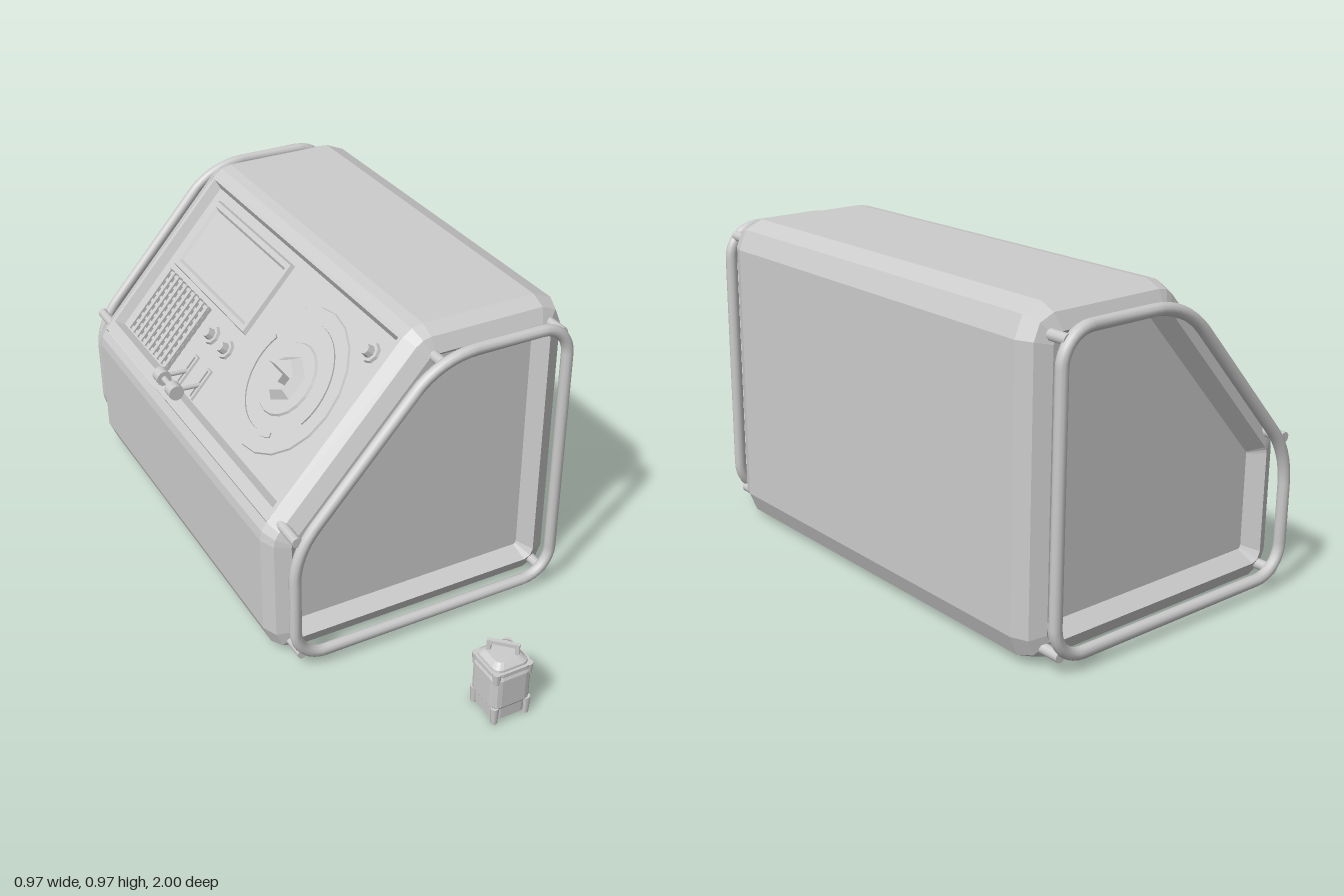
import * as THREE from 'three';

const smooth = new THREE.MeshStandardMaterial({ color: 0xcccccc });
const flat = new THREE.MeshStandardMaterial({ color: 0xcccccc, flatShading: true });

function add(parent, name, geometry, material = flat, x = 0, y = 0, z = 0) {
  const mesh = new THREE.Mesh(geometry, material);
  mesh.name = name;
  mesh.position.set(x, y, z);
  parent.add(mesh);
  return mesh;
}

// Ring of points: convex polygon, inset by d, corners rounded by r (number or one per corner)
function rounded(poly, d, r, z, seg = 2) {
  const n = poly.length, ring = [];
  const inward = i => {
    const [a, b] = [poly[(i + n) % n], poly[(i + 1) % n]];
    return new THREE.Vector2(a[1] - b[1], b[0] - a[0]).normalize();
  };
  for (let i = 0; i < n; i++) {
    const n1 = inward(i - 1), n2 = inward(i), rad = Array.isArray(r) ? r[i] : r;
    const m = n1.clone().add(n2).divideScalar(1 + n1.dot(n2));
    const turn = Math.acos(n1.dot(n2));
    for (let k = 0; k <= seg; k++) {
      const dir = n1.clone().rotateAround(new THREE.Vector2(), turn * k / seg);
      ring.push([poly[i][0] + (d + rad) * m.x - rad * dir.x, poly[i][1] + (d + rad) * m.y - rad * dir.y, z]);
    }
  }
  return ring;
}
const rect = (x0, x1, y0, y1, z) => [[x0, y0, z], [x1, y0, z], [x1, y1, z], [x0, y1, z]];

// Skin between rings; closed joins the last ring to the first, otherwise chosen ends are capped
function loft(rings, { start = false, end = false, closed = false, skip = () => false } = {}) {
  const n = rings[0].length, m = rings.length, index = [];
  for (let i = 0; i < (closed ? m : m - 1); i++) {
    for (let j = 0; j < n; j++) {
      if (skip(i, j)) continue;
      const a = i * n + j, b = i * n + (j + 1) % n, k = ((i + 1) % m) * n;
      const c = k + j, e = k + (j + 1) % n;
      index.push(a, b, c, b, e, c);
    }
  }
  for (let j = 1; j < n - 1; j++) {
    if (start) index.push(0, j + 1, j);
    if (end) index.push((m - 1) * n, (m - 1) * n + j, (m - 1) * n + j + 1);
  }
  const g = new THREE.BufferGeometry();
  g.setAttribute('position', new THREE.Float32BufferAttribute(rings.flat(2), 3));
  g.setIndex(index);
  g.computeVertexNormals();
  return g;
}

function rod(parent, name, from, to, radius, sides = 10) {
  const a = new THREE.Vector3(...from), b = new THREE.Vector3(...to), dir = b.clone().sub(a);
  const mesh = add(parent, name, new THREE.CylinderGeometry(radius, radius, dir.length(), sides), smooth);
  mesh.position.copy(a).add(b).multiplyScalar(0.5);
  mesh.quaternion.setFromUnitVectors(new THREE.Vector3(0, 1, 0), dir.normalize());
}

const OUTLINE = [[-0.485, 0], [0.485, 0], [0.485, 0.97], [-0.007, 0.97], [-0.485, 0.4365]];

function addBody(root) {
  // [z, inset, corner radius]: sunken end, rounded rim, long middle, and the same again
  const sections = [[-0.885, 0.1, 0.01], [-0.93, 0.065, 0.03], [-0.908, 0.02, 0.065], [-0.86, 0, 0.085],
    [0.41, 0, 0.085], [0.458, 0.02, 0.065], [0.48, 0.065, 0.03], [0.435, 0.1, 0.01]];
  const rings = sections.map(([z, d, r]) => rounded(OUTLINE, d, r, z));
  // the sloped face is left open for the control panel
  add(root, 'cabinet', loft(rings, { start: true, end: true, skip: (i, j) => i === 3 && j === 11 }));
}

function addFrame(root, z, bodyZ) {
  const rings = [], R = 0.018;
  const radii = [0.095, 0.095, 0.095, 0.26, 0.26];
  for (let i = 0; i < 10; i++) {
    const t = i / 10 * Math.PI * 2, c = R * Math.cos(t);
    rings.push(rounded(OUTLINE, 0.045 - c, radii.map(r => r + c), z + R * Math.sin(t), 8));
  }
  add(root, 'guardRail', loft(rings, { closed: true }), smooth);
  for (const [x, y] of [[-0.42, 0.055], [0.42, 0.055], [0.42, 0.9], [0.03, 0.9], [-0.43, 0.46]]) {
    rod(root, 'railPost', [x, y, bodyZ], [x, y, z], 0.016);
  }
}

// Local axes of the panel: x along the cabinet, y up the slope, z out of the floor of the recess
function addPanel(root) {
  const panel = new THREE.Group(), c = 0.668, d = 0.744, depth = 0.03;
  panel.name = 'controlPanel';
  panel.applyMatrix4(new THREE.Matrix4()
    .makeBasis(new THREE.Vector3(0, 0, 1), new THREE.Vector3(c, d, 0), new THREE.Vector3(-d, c, 0))
    .setPosition(-0.462 + d * depth, 0.4626 - c * depth, 0));
  root.add(panel);

  add(panel, 'panelRecess', loft([
    rect(-0.86, 0.41, 0, 0.647, depth), rect(-0.845, 0.395, 0.04, 0.635, depth),
    rect(-0.83, 0.38, 0.052, 0.622, 0)], { end: true }));

  add(panel, 'screen', loft([
    rect(-0.785, -0.225, 0.325, 0.59, 0), rect(-0.78, -0.23, 0.33, 0.585, 0.014),
    rect(-0.765, -0.245, 0.348, 0.567, 0.014), rect(-0.757, -0.253, 0.356, 0.559, 0.003)], { end: true }));

  // speaker grille: crossed bars
  for (let i = 0; i < 10; i++) {
    add(panel, 'grilleSlat', new THREE.BoxGeometry(0.016, 0.245, 0.018), flat, -0.77 + i * 0.034, 0.184, 0.009);
  }
  for (let i = 0; i < 9; i++) {
    add(panel, 'grilleBar', new THREE.BoxGeometry(0.325, 0.012, 0.012), flat, -0.617, 0.07 + i * 0.0285, 0.006);
  }

  const disc = (name, r0, r1, h, sides, x, y, z) =>
    add(panel, name, new THREE.CylinderGeometry(r1, r0, h, sides).rotateX(Math.PI / 2), flat, x, y, z + h / 2);

  // large dial with two arcs and a pointer grip
  const [dx, dy] = [0.08, 0.325];
  disc('dialPlate', 0.24, 0.237, 0.006, 20, dx, dy, 0);
  for (const [from, span] of [[-0.35, 2.1], [Math.PI - 0.4, 2.5]]) {
    const arc = new THREE.Shape();
    arc.absarc(0, 0, 0.187, from, from + span, false);
    arc.absarc(0, 0, 0.172, from + span, from, true);
    add(panel, 'dialArc', new THREE.ExtrudeGeometry(arc, { depth: 0.006, bevelEnabled: false, curveSegments: 10 }),
      flat, dx, dy, 0.005);
  }
  disc('dialHub', 0.12, 0.115, 0.008, 20, dx, dy, 0.005);
  disc('dialKnob', 0.08, 0.055, 0.028, 6, dx, dy, 0.012);
  add(panel, 'dialGrip', new THREE.BoxGeometry(0.095, 0.026, 0.04), flat, dx, dy, 0.05);

  // small knobs
  for (const [x, y] of [[-0.365, 0.25], [-0.26, 0.25], [0.31, 0.55]]) {
    disc('knobBase', 0.033, 0.03, 0.01, 8, x, y, 0);
    disc('knob', 0.02, 0.016, 0.024, 8, x, y, 0.008);
  }
  for (const x of [-0.365, -0.265]) {
    add(panel, 'leverSlot', loft([
      rect(x - 0.014, x + 0.014, 0.055, 0.168, 0), rect(x - 0.012, x + 0.012, 0.057, 0.166, 0.007),
      rect(x - 0.006, x + 0.006, 0.063, 0.16, 0.007), rect(x - 0.006, x + 0.006, 0.063, 0.16, 0.001)], { end: true }));
  }
}

function addLevers(root) {
  for (const z of [-0.365, -0.265]) {
    rod(root, 'leverArm', [-0.36, 0.525, z], [-0.455, 0.53, z], 0.007, 8);
    rod(root, 'leverHandle', [-0.455, 0.53, z - 0.02], [-0.455, 0.53, z + 0.02], 0.025, 14);
  }
  rod(root, 'leverLink', [-0.455, 0.53, -0.365], [-0.455, 0.53, -0.265], 0.011, 8);
}

function addCanister(root) {
  const can = new THREE.Group();
  can.name = 'canister';
  can.position.z = 0.936;
  root.add(can);
  const square = h => rect(-h, h, -h, h, 0);
  // [height, half width, corner radius]
  const stack = (name, list, opts) => add(can, name,
    loft(list.map(([y, h, r]) => rounded(square(h), 0, r, y, 3)), opts).rotateX(-Math.PI / 2));
  stack('canisterBody', [[0.002, 0.045, 0.02], [0.012, 0.057, 0.024], [0.05, 0.058, 0.024], [0.06, 0.064, 0.026],
    [0.155, 0.064, 0.026], [0.168, 0.058, 0.024], [0.187, 0.055, 0.022], [0.2, 0.04, 0.018]], { start: true, end: true });
  stack('canisterBand', [[0.168, 0.056, 0.024], [0.168, 0.064, 0.026], [0.18, 0.064, 0.026], [0.18, 0.054, 0.024]]);
  for (const sx of [-1, 1]) for (const sz of [-1, 1]) {
    const foot = [sx * 0.052, 0.028, sz * 0.052], clip = [sx * 0.052, 0.162, sz * 0.052];
    add(can, 'cornerFoot', new THREE.CylinderGeometry(0.013, 0.01, 0.056, 8), smooth, ...foot);
    add(can, 'cornerClip', new THREE.CylinderGeometry(0.013, 0.01, 0.036, 8), smooth, ...clip);
  }
  // diagonal carry handle
  const shape = new THREE.Shape([[-0.046, 0.195], [0.046, 0.195], [0.046, 0.235], [-0.046, 0.235]]
    .map(p => new THREE.Vector2(...p)));
  shape.holes.push(new THREE.Path([[-0.034, 0.2], [-0.034, 0.223], [0.034, 0.223], [0.034, 0.2]]
    .map(p => new THREE.Vector2(...p))));
  const handle = new THREE.ExtrudeGeometry(shape, { depth: 0.012, bevelEnabled: false }).translate(0, 0, -0.006);
  add(can, 'canisterHandle', handle).rotation.y = -Math.PI / 4;
}

export function createModel() {
  const root = new THREE.Group();
  root.name = 'controlConsole';
  addBody(root);
  addFrame(root, 0.537, 0.42);
  addFrame(root, -0.982, -0.87);
  addPanel(root);
  addLevers(root);
  addCanister(root);
  return root;
}
